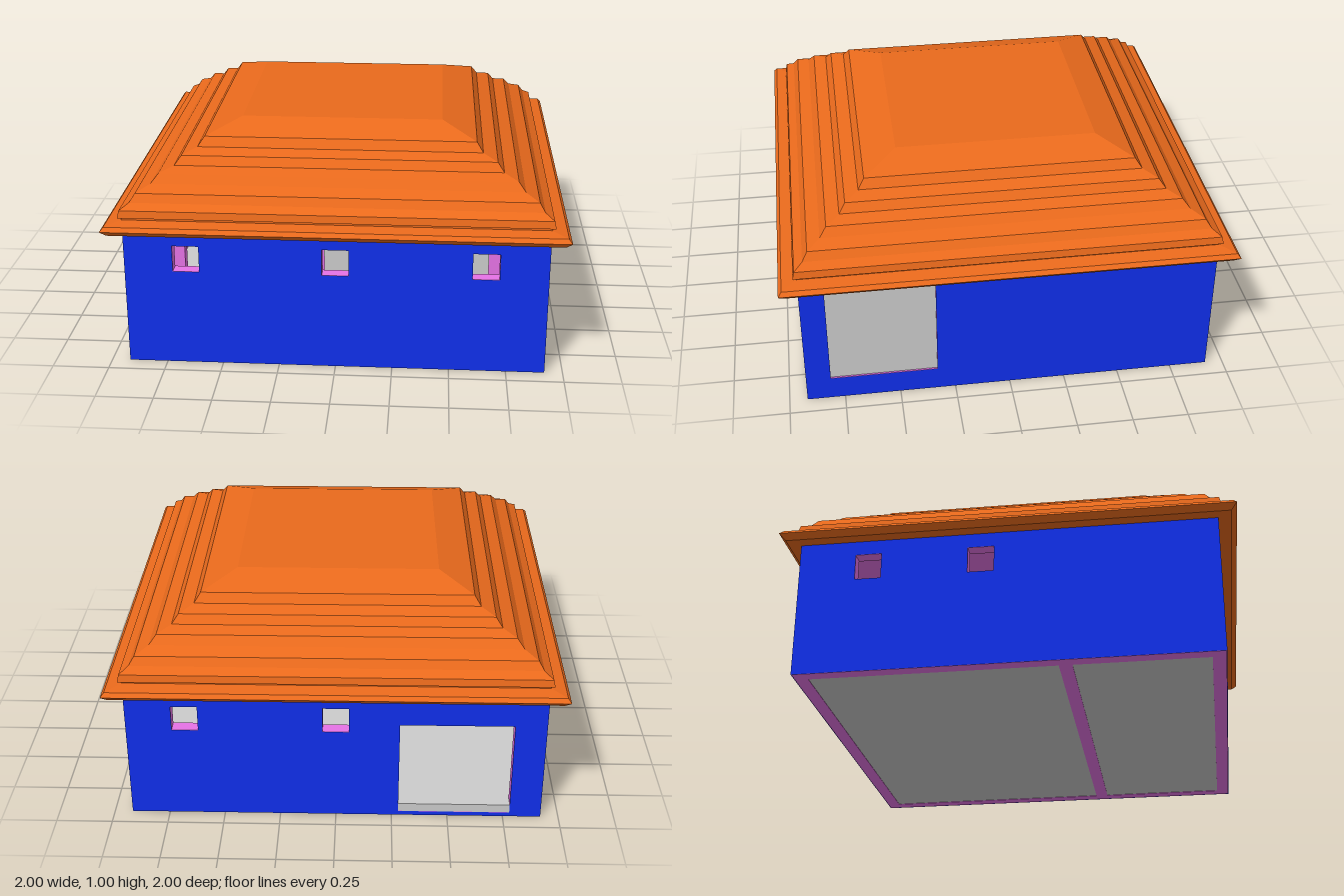
import * as THREE from 'three';

const BLUE = 0x102fec, PINK = 0xe673e6, ORANGE = 0xea6a1c, GREY = 0xcccccc;
const HALF = 0.92, HEIGHT = 0.63, THICK = 0.06;

const paint = (color, extra = {}) => new THREE.MeshStandardMaterial({ color, ...extra });

// Rectangle with rectangular holes, each given as [x0, x1, y0, y1]
function panelShape(x0, x1, y0, y1, holes = []) {
  const corners = (a, b, c, d) => [[a, c], [b, c], [b, d], [a, d]].map(p => new THREE.Vector2(...p));
  const shape = new THREE.Shape(corners(x0, x1, y0, y1));
  for (const h of holes) shape.holes.push(new THREE.Path(corners(...h).reverse()));
  return shape;
}

function wallCore(half, holes) {
  return new THREE.ExtrudeGeometry(panelShape(-half, half, 0, HEIGHT, holes), { depth: THICK - 0.002, bevelEnabled: false });
}

function box(name, color, x0, x1, y0, y1, z0, z1) {
  const mesh = new THREE.Mesh(new THREE.BoxGeometry(x1 - x0, y1 - y0, z1 - z0), paint(color));
  mesh.position.set((x0 + x1) / 2, (y0 + y1) / 2, (z0 + z1) / 2);
  mesh.name = name;
  return mesh;
}

export function createModel() {
  const house = new THREE.Group();
  house.name = 'house';

  // Outer walls: a core with openings and a painted skin on the outside
  const win = x => [x - 0.058, x + 0.058, 0.44, 0.56];
  const walls = [
    { name: 'frontWall', turn: 0, core: HALF - 0.002, holes: [-0.65, 0, 0.65].map(win) },
    { name: 'backWall', turn: Math.PI, core: HALF - 0.002, holes: [win(-0.66), win(0), [0.28, 0.78, 0.02, 0.48]] },
    { name: 'rightWall', turn: Math.PI / 2, core: HALF - THICK, holes: [[-0.81, -0.33, 0.11, 0.61]] },
    { name: 'leftWall', turn: -Math.PI / 2, core: HALF - THICK, holes: [win(-0.61), win(-0.11)] },
  ];
  for (const { name, turn, core, holes } of walls) {
    const wall = new THREE.Group();
    wall.name = name;
    const inner = new THREE.Mesh(wallCore(core, holes), paint(PINK));
    inner.name = 'wallCore';
    inner.position.z = HALF - THICK;
    const skin = new THREE.Mesh(
      new THREE.ShapeGeometry(panelShape(-HALF, HALF, 0, HEIGHT, holes)),
      paint(BLUE, { side: THREE.DoubleSide }));
    skin.name = 'wallPaint';
    skin.position.z = HALF;
    wall.add(inner, skin);
    wall.rotation.y = turn;
    house.add(wall);
  }

  // Partition between the two rooms, with a doorway
  const partition = new THREE.Mesh(wallCore(HALF - THICK, [[-0.78, -0.28, 0.02, 0.48]]), paint(PINK));
  partition.name = 'partitionWall';
  partition.position.z = 0.22;
  house.add(partition);

  // Floors, door sill, ceiling and closed panels
  const inside = HALF - THICK;
  house.add(
    box('backFloor', GREY, -inside, inside, 0.002, 0.06, -inside, 0.22),
    box('frontFloor', GREY, -inside, inside, 0.002, 0.06, 0.278, inside),
    box('doorSill', GREY, -0.78, -0.28, 0.02, 0.06, -HALF + 0.002, -inside),
    box('ceiling', PINK, -inside, inside, 0.612, 0.63, -inside, inside),
    box('sideDoor', GREY, inside, HALF - 0.01, 0.11, 0.61, 0.33, 0.81),
    box('partitionPanel', GREY, -0.1, 0.69, 0.06, 0.48, 0.275, 0.29));

  // Stepped hip roof: a square lathe over the eave and tile profile
  const profile = [
    [0, 0.625], [0.975, 0.625], [1, 0.65], [0.985, 0.668], [0.92, 0.677], [0.92, 0.688],
    [0.935, 0.69], [0.928, 0.722], [0.89, 0.745], [0.867, 0.78], [0.81, 0.804], [0.78, 0.84],
    [0.72, 0.858], [0.692, 0.895], [0.63, 0.915], [0.602, 0.955], [0.45, 1.005], [0, 1.005],
  ].map(([r, y]) => new THREE.Vector2(r * Math.SQRT2, y));
  const roof = new THREE.Mesh(
    new THREE.LatheGeometry(profile, 4, Math.PI / 4).toNonIndexed(),
    paint(ORANGE, { flatShading: true }));
  roof.geometry.computeVertexNormals();
  roof.name = 'roof';
  house.add(roof);

  return house;
}
